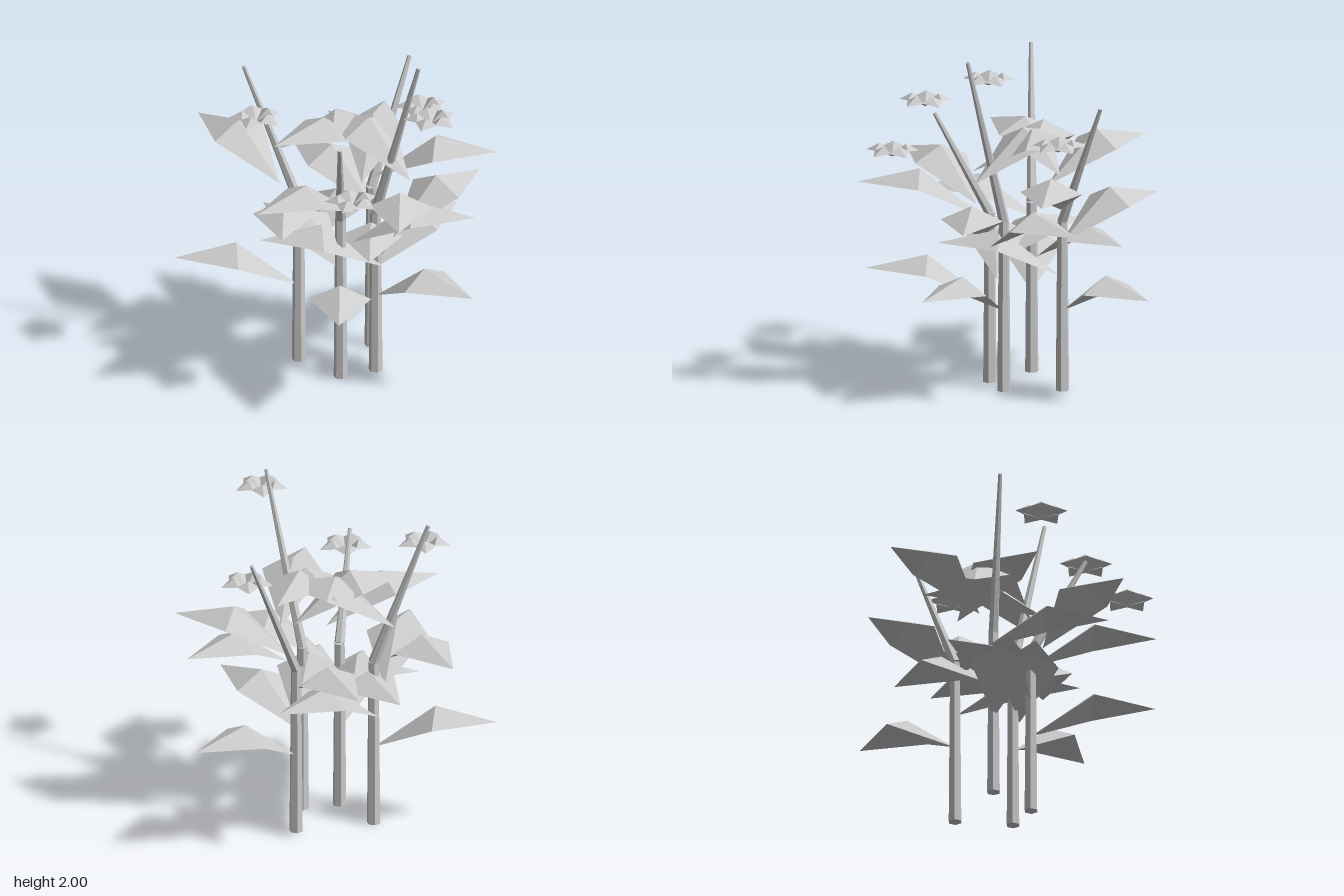
import * as THREE from 'three';

const material = new THREE.MeshStandardMaterial({ color: 0xcccccc, flatShading: true, side: THREE.DoubleSide });
const GOLDEN = THREE.MathUtils.degToRad(137.5);

// Folded sheet along +x: base point, raised peak, tip and two drooping corners
function sheetGeometry(length, halfWidth, peakY, cornerY, tipY) {
  const m = length / 2;
  const base = [0, 0, 0], peak = [m, peakY, 0], tip = [length, tipY, 0];
  const near = [m, cornerY, halfWidth], far = [m, cornerY, -halfWidth];
  const triangles = [base, near, peak, near, tip, peak, tip, far, peak, far, base, peak];
  const geo = new THREE.BufferGeometry();
  geo.setAttribute('position', new THREE.Float32BufferAttribute(triangles.flat(), 3));
  geo.computeVertexNormals();
  return geo;
}

const leafGeometry = sheetGeometry(0.712, 0.18, 0.275, 0.19, 0.19);
const petalGeometry = sheetGeometry(0.158, 0.065, 0.072, 0.04, 0.026);

function addMesh(parent, geometry, name) {
  const mesh = new THREE.Mesh(geometry, material);
  mesh.name = name;
  parent.add(mesh);
  return mesh;
}

// Tapered six-sided rod between two points
function addRod(parent, name, from, to, r0, r1) {
  const dir = to.clone().sub(from);
  const rod = addMesh(parent, new THREE.CylinderGeometry(r1, r0, dir.length(), 6), name);
  rod.position.copy(from).add(to).multiplyScalar(0.5);
  rod.quaternion.setFromUnitVectors(new THREE.Vector3(0, 1, 0), dir.normalize());
}

function makePlant({ x, z, height, angle }) {
  const plant = new THREE.Group();
  plant.name = 'plant';
  const a = THREE.MathUtils.degToRad(angle);
  const leanX = 0.315 * Math.cos(a), leanZ = 0.315 * Math.sin(a);

  // Stalk: upright below, leaning outward above
  const bend = new THREE.Vector3(x, 1, z);
  const top = new THREE.Vector3(x + leanX, height, z + leanZ);
  addRod(plant, 'lowerStalk', new THREE.Vector3(x, 0, z), bend, 0.04, 0.031);
  addRod(plant, 'upperStalk', bend, top, 0.031, 0.012);

  // Leaves climb in a golden-angle spiral
  for (let i = 0; i < 5; i++) {
    const leaf = addMesh(plant, leafGeometry, 'leaf');
    leaf.position.set(x + leanX * i / 5, 0.47 + 0.2 * i, z);
    leaf.rotation.y = -(a + i * GOLDEN);
  }

  // Five-petalled flower hanging beside the stalk top
  const flower = new THREE.Group();
  flower.name = 'flower';
  flower.position.set(top.x + 0.205, top.y - 0.24, top.z + 0.143);
  for (let i = 0; i < 5; i++) {
    addMesh(flower, petalGeometry, 'petal').rotation.y = -i * Math.PI * 2 / 5;
  }
  plant.add(flower);
  return plant;
}

export function createModel() {
  const model = new THREE.Group();
  model.name = 'plantCluster';
  const plants = [
    { x: 0.28, z: 0.035, height: 2.0, angle: 0 },
    { x: 0.18, z: 0.23, height: 1.58, angle: 52 },
    { x: -0.15, z: 0.2, height: 1.86, angle: 138 },
    { x: 0.053, z: -0.21, height: 1.72, angle: -85 },
  ];
  for (const p of plants) model.add(makePlant(p));
  return model;
}
